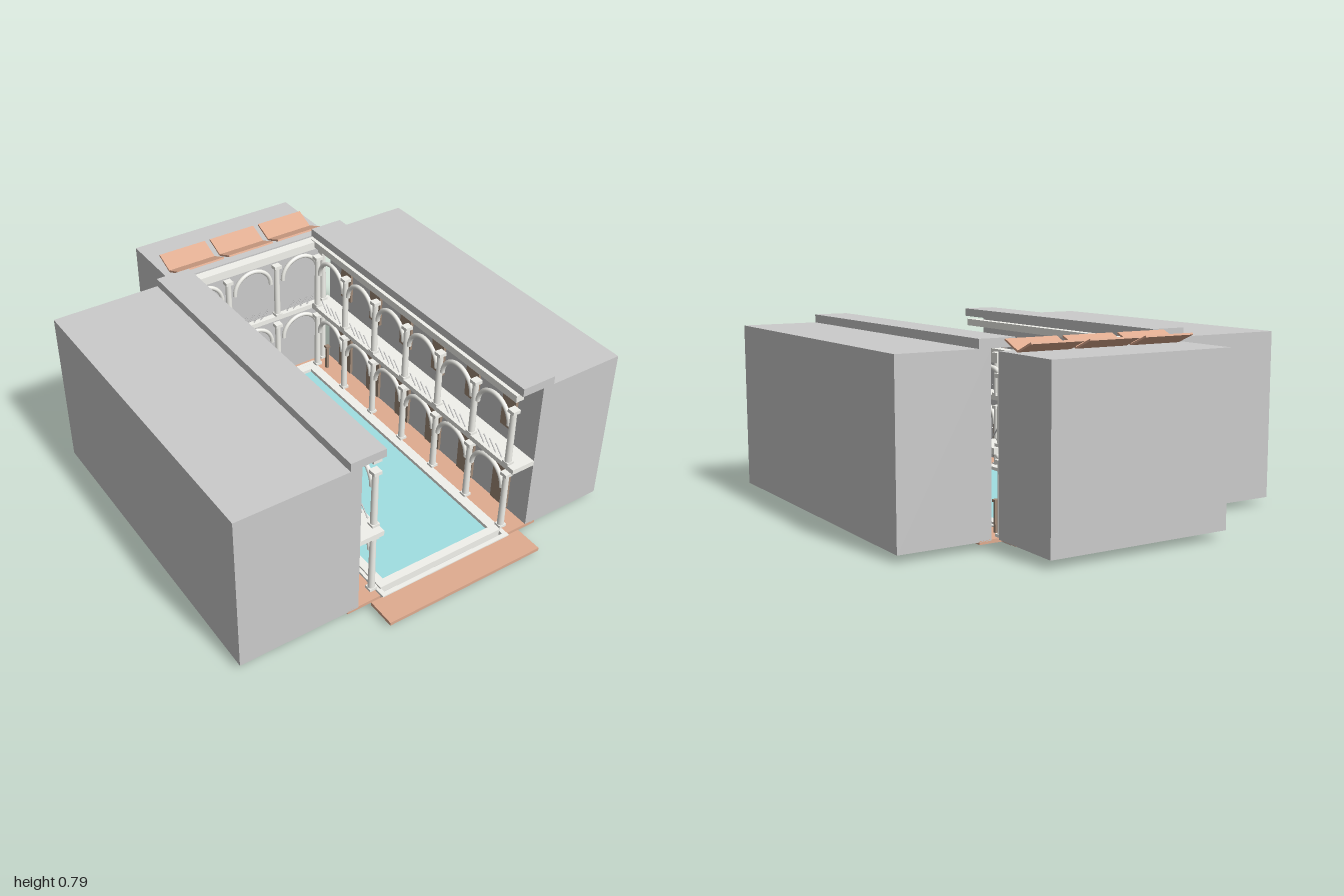
import * as THREE from 'three';

const mat = (color) => new THREE.MeshStandardMaterial({ color });
const grey = mat(0xcccccc);
const stone = mat(0xf2f2ec);
const terracotta = mat(0xe0ac90);
const water = mat(0xa0dfe2);
const wood = mat(0xa08a78);

const MID = 0.072; // courtyard axis in x

// Box given by its extents
function box(name, parent, material, [x0, x1], [y0, y1], [z0, z1]) {
  const mesh = new THREE.Mesh(new THREE.BoxGeometry(x1 - x0, y1 - y0, z1 - z0), material);
  mesh.position.set((x0 + x1) / 2, (y0 + y1) / 2, (z0 + z1) / 2);
  mesh.name = name;
  parent.add(mesh);
  return mesh;
}

// Flat rectangular frame lying around the pool
function frame(name, parent, [x0, x1], [z0, z1], width, [y0, y1]) {
  const shape = new THREE.Shape([
    new THREE.Vector2(x0, -z0), new THREE.Vector2(x0, -z1),
    new THREE.Vector2(x1, -z1), new THREE.Vector2(x1, -z0)]);
  shape.holes.push(new THREE.Path([
    new THREE.Vector2(x0 + width, -z0 - width), new THREE.Vector2(x1 - width, -z0 - width),
    new THREE.Vector2(x1 - width, -z1 + width), new THREE.Vector2(x0 + width, -z1 + width)]));
  const geo = new THREE.ExtrudeGeometry(shape, { depth: y1 - y0, bevelEnabled: false });
  const mesh = new THREE.Mesh(geo.rotateX(-Math.PI / 2), stone);
  mesh.position.y = y0;
  mesh.name = name;
  parent.add(mesh);
}

const shaftGeo = new THREE.CylinderGeometry(0.013, 0.015, 1, 16);
const archGeo = new THREE.TorusGeometry(0.097, 0.01, 8, 24, Math.PI);
const balusterGeo = new THREE.CylinderGeometry(0.003, 0.003, 0.062, 6);

// Column with base and capital, standing in the local xy plane
function column(parent, x, y0, y1) {
  const shaft = new THREE.Mesh(shaftGeo, stone);
  shaft.scale.y = y1 - y0;
  shaft.position.set(x, (y0 + y1) / 2, 0);
  shaft.name = 'columnShaft';
  parent.add(shaft);
  box('columnBase', parent, stone, [x - 0.017, x + 0.017], [y0, y0 + 0.012], [-0.017, 0.017]);
  box('columnCapital', parent, stone, [x - 0.018, x + 0.018], [y1 - 0.016, y1], [-0.018, 0.018]);
}

// Two storeys of columns and arches, with balusters above the gallery floor
function arcade(name, bays, bayWidth) {
  const group = new THREE.Group();
  group.name = name;
  const start = -bays * bayWidth / 2;
  for (const [y0, y1, spring] of [[0.04, 0.335, 0.24], [0.385, 0.66, 0.567]]) {
    for (let i = 0; i <= bays; i++) column(group, start + i * bayWidth, y0, y1);
    for (let i = 0; i < bays; i++) {
      const arch = new THREE.Mesh(archGeo, stone);
      arch.position.set(start + (i + 0.5) * bayWidth, spring, 0);
      arch.name = 'arch';
      group.add(arch);
    }
  }
  for (let i = 0; i < bays; i++) {
    for (let k = 0; k < 4; k++) {
      const bar = new THREE.Mesh(balusterGeo, grey);
      bar.position.set(start + (i + 0.5) * bayWidth + (k - 1.5) * 0.038, 0.41, 0);
      bar.rotation.z = -Math.PI / 4;
      bar.name = 'baluster';
      group.add(bar);
    }
  }
  return group;
}

export function createModel() {
  const model = new THREE.Group();
  model.name = 'courtyardWithPool';

  // Pool
  const pool = new THREE.Group();
  pool.name = 'pool';
  model.add(pool);
  box('basin', pool, grey, [-0.275, 0.42], [0, 0.015], [-0.64, 0.875]);
  frame('outerRim', pool, [-0.25, 0.4], [-0.635, 0.875], 0.02, [0.012, 0.04]);
  frame('innerRim', pool, [-0.235, 0.385], [-0.605, 0.835], 0.037, [0.012, 0.048]);
  box('water', pool, water, [-0.205, 0.352], [0.013, 0.032], [-0.575, 0.805]);

  // Paving around the pool
  box('frontPaving', model, terracotta, [-0.305, 0.455], [0.02, 0.035], [0.87, 1]);
  box('backPaving', model, terracotta, [-0.305, 0.455], [0.02, 0.035], [-0.73, -0.63]);

  // Wings: blocks, eaves, paving, galleries, doors and windows on both sides
  const z0 = -0.635, z1 = 0.86;
  box('rightWing', model, grey, [-0.9, -0.36], [0.03, 0.755], [z0, z1]);
  box('leftWing', model, grey, [0.503, 0.9], [0.03, 0.755], [z0, z1]);
  const bay = 0.235, bays = 6, midZ = 0.105;
  for (const s of [-1, 1]) {
    const side = new THREE.Group();
    side.name = s < 0 ? 'rightGallery' : 'leftGallery';
    model.add(side);
    // Extents measured outward from the courtyard axis
    const out = (a, b) => s < 0 ? [MID - b, MID - a] : [MID + a, MID + b];
    box('eave', side, grey, out(0.325, 0.483), [0.755, 0.792], [z0, z1]);
    box('sidePaving', side, terracotta, out(0.325, 0.483), [0.02, 0.035], [z0, z1]);
    box('galleryFloor', side, stone, out(0.32, 0.432), [0.362, 0.385], [z0, z1]);
    box('eaveBeam', side, stone, out(0.32, 0.36), [0.71, 0.742], [z0, z1 - 0.03]);
    const row = arcade('sideArcade', bays, bay);
    row.rotation.y = Math.PI / 2;
    row.position.set(MID + s * 0.335, 0, midZ);
    side.add(row);
    for (let i = 0; i < bays; i++) {
      const z = midZ + (i - (bays - 1) / 2) * bay;
      box('door', side, wood, out(0.418, 0.435), [0.045, 0.3], [z - 0.05, z + 0.05]);
      box('window', side, wood, out(0.418, 0.435), [0.455, 0.625], [z - 0.04, z + 0.04]);
    }
    // Short post with a cap
    box('post', side, wood, out(0.355, 0.369), [0.035, 0.155], [-0.56, -0.546]);
    box('postCap', side, wood, out(0.351, 0.373), [0.155, 0.165], [-0.564, -0.542]);
  }

  // Back building with its gallery
  box('backWing', model, grey, [-0.335, 0.482], [0.035, 0.745], [-1, -0.653]);
  box('backGalleryFloor', model, stone, [-0.36, 0.503], [0.362, 0.385], [-0.653, -0.625]);
  box('backBeam', model, stone, [-0.338, 0.488], [0.7, 0.738], [-0.653, -0.605]);
  const back = arcade('backArcade', 3, 0.26);
  back.position.set(MID, 0, -0.637);
  model.add(back);

  // Roof panels, each a shallow V of two tilted plates
  for (let i = -1; i <= 1; i++) {
    for (const s of [-1, 1]) {
      const plate = new THREE.Mesh(new THREE.BoxGeometry(0.232, 0.008, 0.098), terracotta);
      plate.position.set(MID + i * 0.259, 0.766, -0.729 + s * 0.0445);
      plate.rotation.x = -s * 0.4;
      plate.name = 'roofPanel';
      model.add(plate);
    }
  }
  return model;
}
